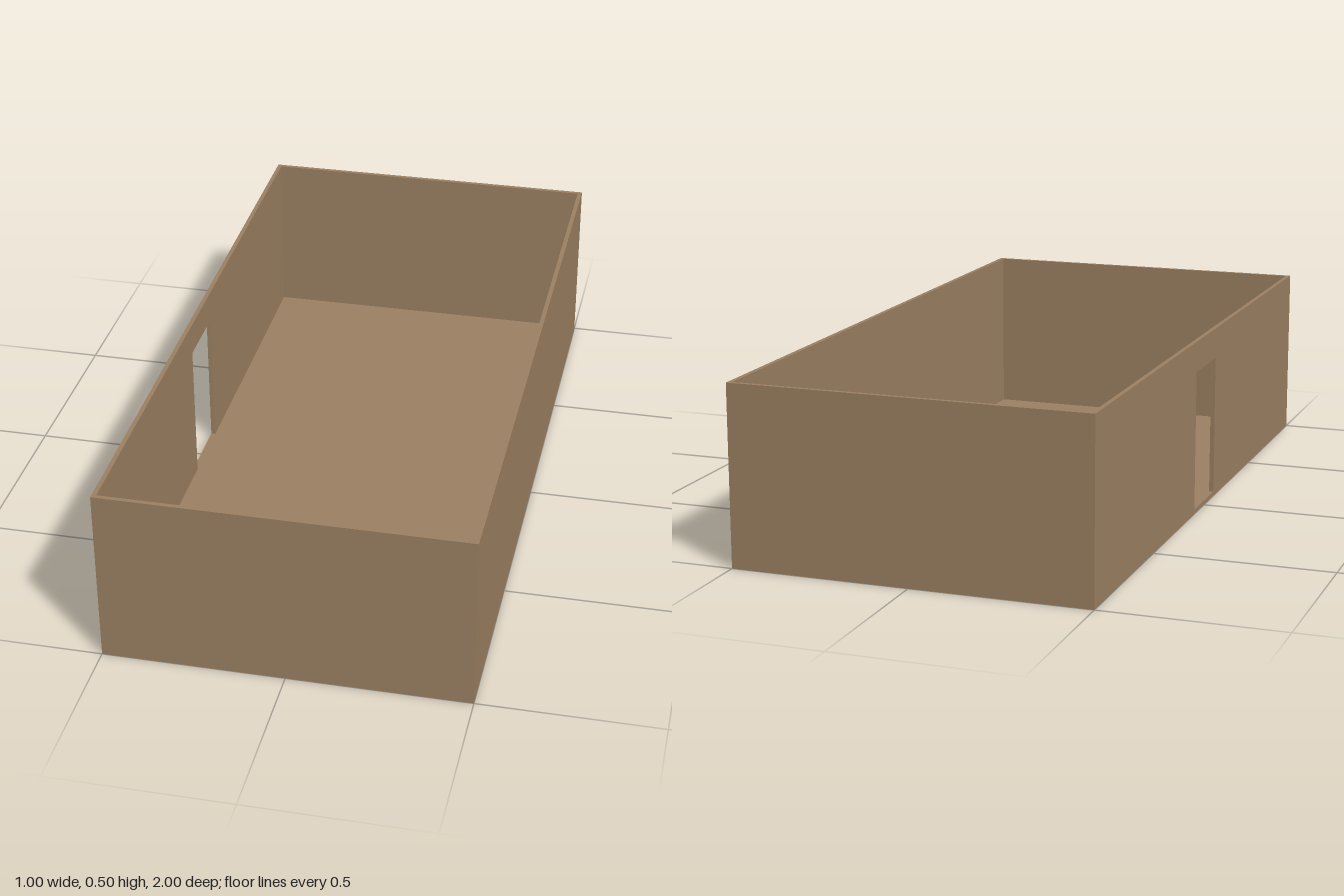
import * as THREE from 'three';

const W = 1, H = 0.5, L = 2;      // overall size
const T = 0.0125;                 // wall and floor thickness
const DOOR_W = 0.2, DOOR_H = 0.4; // doorway

export function createModel() {
  const group = new THREE.Group();
  const tan = new THREE.MeshStandardMaterial({ color: 0x9c8062 });
  tan.name = 'tan plaster';

  const add = (name, geometry, x, y, z) => {
    const mesh = new THREE.Mesh(geometry, tan);
    mesh.name = name;
    mesh.position.set(x, y, z);
    group.add(mesh);
    return mesh;
  };

  // Floor slab and the plain walls standing on it
  const wallH = H - T, wallY = T + wallH / 2, innerL = L - 2 * T;
  add('floor', new THREE.BoxGeometry(W, T, L), 0, T / 2, 0);
  for (const [name, side] of [['frontWall', 1], ['backWall', -1]]) {
    add(name, new THREE.BoxGeometry(W, wallH, T), 0, wallY, side * (L - T) / 2);
  }
  add('leftWall', new THREE.BoxGeometry(T, wallH, innerL), (W - T) / 2, wallY, 0);

  // Right wall with a doorway cut up from the floor
  const a = innerL / 2, d = DOOR_W / 2;
  const outline = new THREE.Shape([
    [-a, 0], [-d, 0], [-d, DOOR_H], [d, DOOR_H], [d, 0], [a, 0], [a, wallH], [-a, wallH],
  ].map(([x, y]) => new THREE.Vector2(x, y)));
  const wall = new THREE.ExtrudeGeometry(outline, { depth: T, bevelEnabled: false });
  wall.rotateY(Math.PI / 2);
  add('rightWallWithDoorway', wall, -W / 2, T, 0);

  return group;
}
